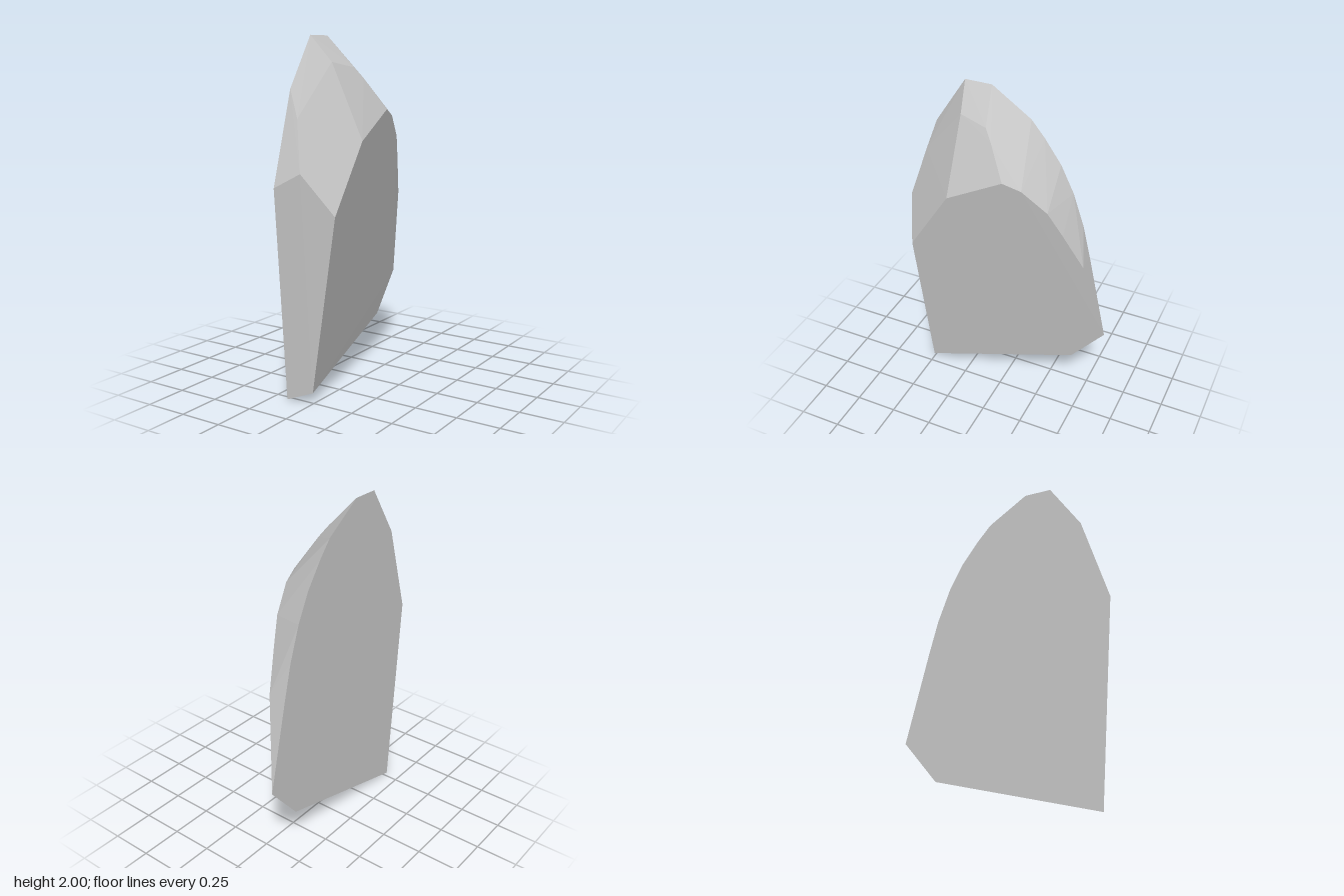
import * as THREE from 'three';
import { ConvexGeometry } from 'three/addons/geometries/ConvexGeometry.js';

// Large slanted side plane: x as a function of height and depth
const slantX = (z, y) => 0.157 + 0.16 * (y - 1.435) + 0.2 * (z - 0.25);

export function createModel() {
  const group = new THREE.Group();
  group.name = 'rockShard';
  const stone = new THREE.MeshStandardMaterial({ color: 0xc5c5c5 });
  stone.name = 'light grey stone';

  // Outline of the flat cleaved side, as [z, y]
  const flatSide = [
    [0.53, 0], [0.62, 1.2], [0.465, 1.715], [0.28, 2], [0.12, 2], [-0.11, 1.845], [-0.19, 1.75],
    [-0.29, 1.61], [-0.37, 1.45], [-0.44, 1.25], [-0.49, 1.05], [-0.615, 0.51], [-0.415, 0.265],
  ].map(([z, y]) => new THREE.Vector3(-0.16, y, z));

  // Outline of the slanted side, as [z, y]
  const slantedSide = [
    [0.485, 0.05], [0.495, 1.055], [0.25, 1.435], [-0.065, 1.59],
    [-0.165, 1.55], [-0.3, 1.42], [-0.38, 1.27], [-0.49, 1.05],
  ].map(([z, y]) => new THREE.Vector3(slantX(z, y), y, z));

  // Chipped corners between the two sides, as [x, y, z]
  const chips = [
    [-0.02, 1.28, 0.575], [-0.09, 1.56, 0.5], [-0.04, 1.855, 0.25],
    [-0.005, 1.825, 0.085], [0.03, 1.765, 0.04],
  ].map((p) => new THREE.Vector3(...p));

  const shard = new THREE.Mesh(new ConvexGeometry([...flatSide, ...slantedSide, ...chips]), stone);
  shard.name = 'shard';
  group.add(shard);
  return group;
}
